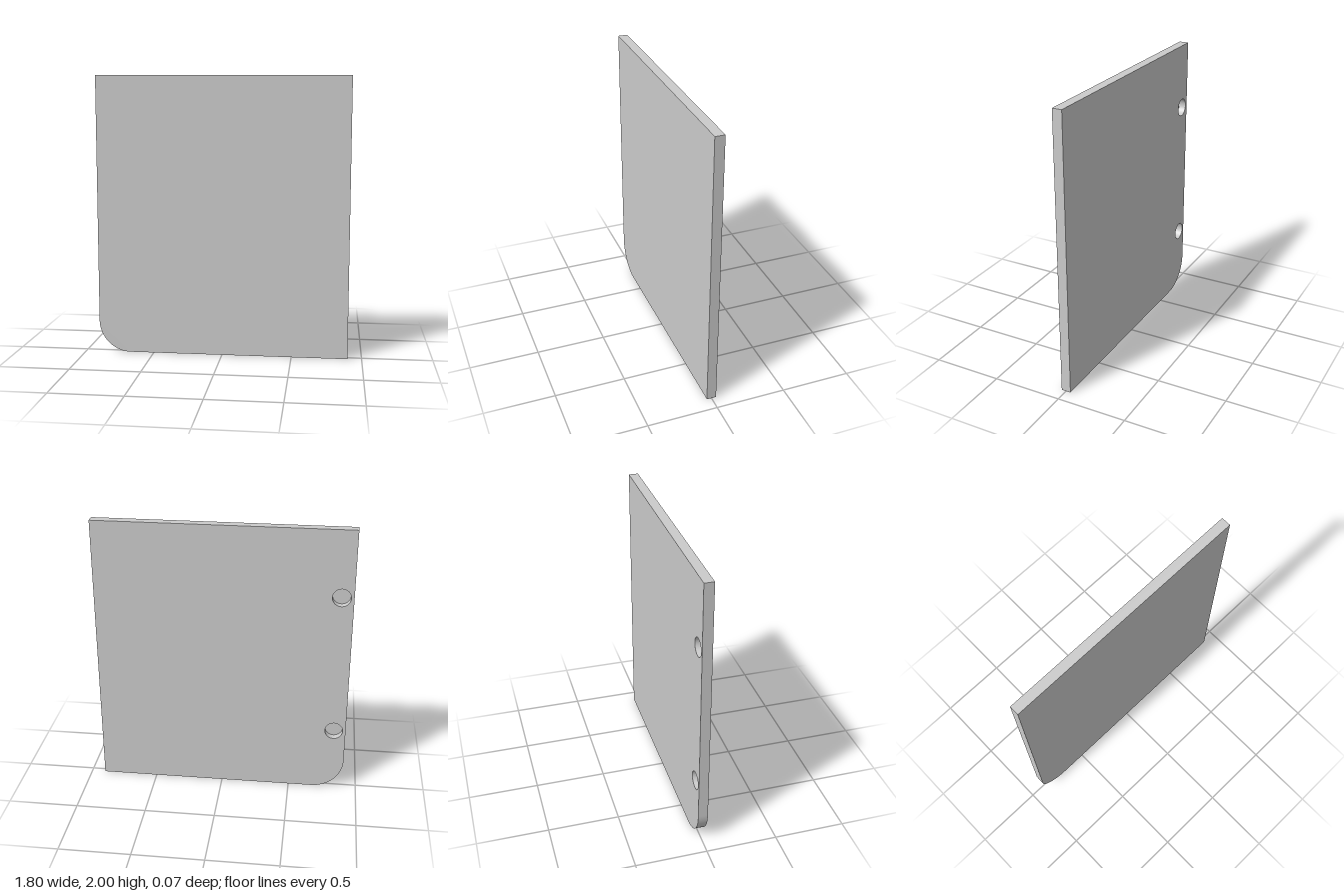
import * as THREE from 'three';

const W = 0.9, H = 2, T = 0.068, R = 0.23; // half width, height, thickness, corner radius
const HOLE_R = 0.064, HOLE_DEPTH = 0.052, HOLE_X = -0.815, HOLE_YS = [0.48, 1.52];

// Panel outline with one rounded bottom corner
function outline() {
  const s = new THREE.Shape();
  s.moveTo(W, 0);
  s.lineTo(W, H);
  s.lineTo(-W, H);
  s.lineTo(-W, R);
  s.absarc(-W + R, R, R, Math.PI, Math.PI * 1.5, false);
  s.closePath();
  return s;
}

export function createModel() {
  const group = new THREE.Group();
  group.name = 'doorPanel';
  const material = new THREE.MeshStandardMaterial({ color: 0xcccccc });
  const add = (name, geometry, z) => {
    const mesh = new THREE.Mesh(geometry, material);
    mesh.name = name;
    mesh.position.z = z;
    group.add(mesh);
  };
  const extrude = (shape, depth) =>
    new THREE.ExtrudeGeometry(shape, { depth, bevelEnabled: false, curveSegments: 32 });

  // Rear layer, drilled with the two hinge holes
  const drilled = outline();
  for (const y of HOLE_YS) {
    const hole = new THREE.Path();
    hole.absarc(HOLE_X, y, HOLE_R, 0, Math.PI * 2, true);
    drilled.holes.push(hole);
  }
  add('drilledBack', extrude(drilled, HOLE_DEPTH), -T / 2);

  // Solid front layer closes the holes
  add('frontSkin', extrude(outline(), T - HOLE_DEPTH), -T / 2 + HOLE_DEPTH);
  return group;
}
